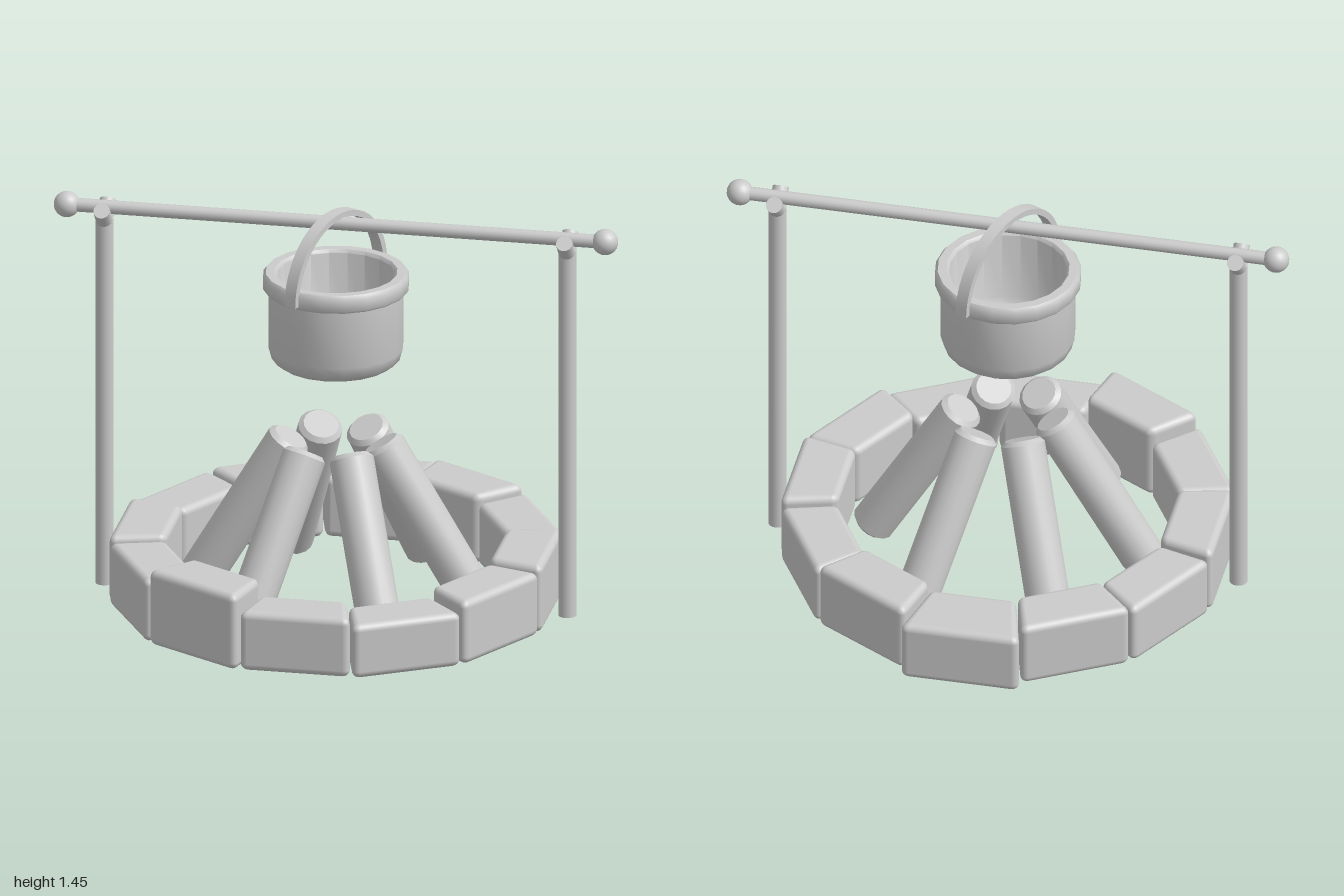
import * as THREE from 'three';
import { toCreasedNormals } from 'three/addons/utils/BufferGeometryUtils.js';
import { RoundedBoxGeometry } from 'three/addons/geometries/RoundedBoxGeometry.js';

const material = new THREE.MeshStandardMaterial({ color: 0xcccccc });

function add(parent, name, geometry) {
  const mesh = new THREE.Mesh(geometry, material);
  mesh.name = name;
  parent.add(mesh);
  return mesh;
}

// Round bar between two points
function addBar(parent, name, a, b, radius) {
  const dir = b.clone().sub(a);
  const mesh = add(parent, name, new THREE.CylinderGeometry(radius, radius, dir.length(), 16));
  mesh.position.copy(a).add(b).multiplyScalar(0.5);
  mesh.quaternion.setFromUnitVectors(new THREE.Vector3(0, 1, 0), dir.normalize());
  return mesh;
}

// Rounded block that widens outwards (+z) as a wedge of the ring
function stoneGeometry(inner, outer, height) {
  const mid = (inner + outer) / 2;
  const k = 1 / mid;
  const width = 2 * mid * Math.tan(Math.PI / 12) - 0.006;
  const g = new RoundedBoxGeometry(width, height, outer - inner, 3, 0.026);
  const p = g.attributes.position, n = g.attributes.normal;
  const v = new THREE.Vector3();
  for (let i = 0; i < p.count; i++) {
    const x = p.getX(i), s = 1 + k * p.getZ(i);
    v.fromBufferAttribute(n, i);
    v.set(v.x / s, v.y, v.z - k * x * v.x / s).normalize();
    n.setXYZ(i, v.x, v.y, v.z);
    p.setX(i, x * s);
  }
  return g;
}

// Log with bevelled ends, centred on its own axis
function logGeometry(radius, length) {
  const h = length / 2, b = 0.016;
  const profile = [
    [0, -h], [radius - b, -h], [radius, -h + b],
    [radius, h - b], [radius - b, h], [0, h],
  ].map(([x, y]) => new THREE.Vector2(x, y));
  return toCreasedNormals(new THREE.LatheGeometry(profile, 16), 0.6);
}

export function createModel() {
  const model = new THREE.Group();
  model.name = 'campfire';
  const fire = new THREE.Group();
  fire.name = 'fireplace';
  fire.position.z = 0.022;
  model.add(fire);

  // Ring of twelve stones, counted from the front towards +x
  const heights = [0.22, 0.2, 0.235, 0.25, 0.23, 0.255, 0.225, 0.24, 0.23, 0.25, 0.235, 0.28];
  heights.forEach((height, i) => {
    const outer = i === 6 ? 0.812 : i === 0 ? 0.755 : 0.768;
    const inner = 0.572;
    const pivot = new THREE.Group();
    pivot.name = 'ringStone';
    pivot.rotation.y = i * Math.PI / 6;
    fire.add(pivot);
    const stone = add(pivot, 'stone', stoneGeometry(inner, outer, height));
    stone.position.set(0, height / 2, (inner + outer) / 2);
  });

  // Six logs leaning together
  const logGeo = logGeometry(0.078, 0.64);
  for (let i = 0; i < 6; i++) {
    const pivot = new THREE.Group();
    pivot.name = 'leaningLog';
    pivot.rotation.y = i * Math.PI / 3;
    fire.add(pivot);
    const log = add(pivot, 'log', logGeo);
    log.position.set(0.323, 0.318, 0);
    log.rotation.z = 0.535;
  }

  // Forked posts
  for (const side of [1, -1]) {
    const post = new THREE.Group();
    post.name = side > 0 ? 'leftPost' : 'rightPost';
    post.position.x = side * 0.82;
    fire.add(post);
    addBar(post, 'postShaft', new THREE.Vector3(0, 0, 0), new THREE.Vector3(0, 1.36, 0), 0.032);
    for (const s of [1, -1]) {
      addBar(post, 'forkProng', new THREE.Vector3(0, 1.345, 0), new THREE.Vector3(0, 1.405, s * 0.057), 0.029);
    }
  }

  // Crossbar with ball ends
  addBar(fire, 'crossbar', new THREE.Vector3(-0.955, 1.4, 0), new THREE.Vector3(0.955, 1.4, 0), 0.024);
  for (const side of [1, -1]) {
    add(fire, 'crossbarKnob', new THREE.SphereGeometry(0.046, 20, 14)).position.set(side * 0.954, 1.4, 0);
  }

  // Hollow pot with a thick rim
  const potProfile = [
    [0, 0.885], [0.2, 0.885], [0.225, 0.905], [0.236, 0.945], [0.236, 1.157],
    [0.25, 1.157], [0.256, 1.165], [0.256, 1.208], [0.246, 1.221],
    [0.215, 1.221], [0.205, 1.21], [0.205, 0.95], [0.18, 0.915], [0, 0.915],
  ].map(([x, y]) => new THREE.Vector2(x, y));
  add(fire, 'pot', toCreasedNormals(new THREE.LatheGeometry(potProfile, 20), 0.75));

  // Flat arched handle
  const arch = new THREE.Shape();
  arch.absarc(0, 0, 0.272, 0, Math.PI, false);
  arch.absarc(0, 0, 0.25, Math.PI, 0, true);
  const handleGeo = new THREE.ExtrudeGeometry(arch, { depth: 0.046, bevelEnabled: false, curveSegments: 12 });
  handleGeo.translate(0, 0, -0.023);
  const handle = add(fire, 'potHandle', toCreasedNormals(handleGeo, 0.5));
  handle.position.y = 1.17;
  handle.rotation.y = 1.134;

  return model;
}
